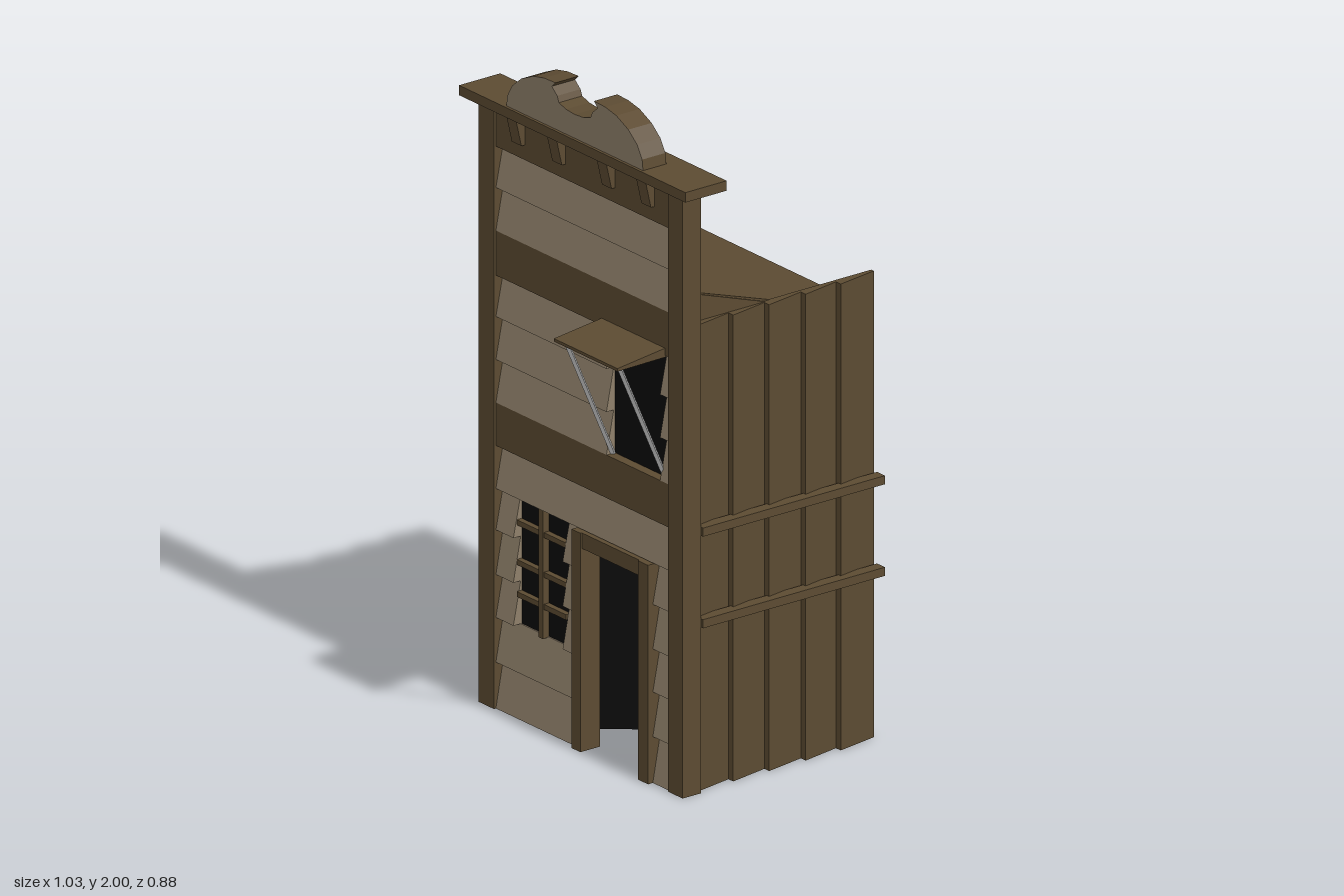
import * as THREE from 'three';

const mat = (color, side = THREE.FrontSide) => new THREE.MeshStandardMaterial({ color, side, flatShading: true });

export function createModel() {
  const root = new THREE.Group();
  const trim = mat(0x5c4b32), plank = mat(0x8f806a), black = mat(0x0a0a0a, THREE.DoubleSide), metal = mat(0xb4b4b4);

  const add = (name, geo, material) => {
    const mesh = new THREE.Mesh(geo, material);
    mesh.name = name;
    root.add(mesh);
    return mesh;
  };
  // box from its limits on each axis
  const box = (name, m, x0, x1, y0, y1, z0, z1) => {
    const mesh = add(name, new THREE.BoxGeometry(x1 - x0, y1 - y0, z1 - z0), m);
    mesh.position.set((x0 + x1) / 2, (y0 + y1) / 2, (z0 + z1) / 2);
    return mesh;
  };
  const toShape = (pts) => new THREE.Shape(pts.map(([a, b]) => new THREE.Vector2(a, b)));
  // prism along x from a [z, y] outline
  const prismX = (name, m, x0, x1, pts) => {
    const geo = new THREE.ExtrudeGeometry(toShape(pts.map(([z, y]) => [-z, y])), { depth: x1 - x0, bevelEnabled: false });
    return add(name, geo.rotateY(Math.PI / 2).translate(x0, 0, 0), m);
  };
  // prism along y from an [x, z] outline
  const prismY = (name, m, y0, y1, pts) => {
    const geo = new THREE.ExtrudeGeometry(toShape(pts.map(([x, z]) => [x, -z])), { depth: y1 - y0, bevelEnabled: false });
    return add(name, geo.rotateX(-Math.PI / 2).translate(0, y0, 0), m);
  };
  // square rod between two points
  const rod = (name, m, a, b, r, sides) => {
    const from = new THREE.Vector3(...a), dir = new THREE.Vector3(...b).sub(from);
    const mesh = add(name, new THREE.CylinderGeometry(r, r, dir.length(), sides), m);
    mesh.position.copy(from).addScaledVector(dir, 0.5);
    mesh.quaternion.setFromUnitVectors(new THREE.Vector3(0, 1, 0), dir.normalize());
    return mesh;
  };

  // Facade frame
  box('cornerPostRight', trim, -0.475, -0.405, 0, 1.83, 0.21, 0.275);
  box('cornerPostLeft', trim, 0.39, 0.457, 0, 1.83, 0.21, 0.275);
  for (const [y0, y1] of [[0.795, 0.925], [1.31, 1.445], [1.7, 1.83]])
    box('facadeBand', trim, -0.405, 0.39, y0, y1, 0.213, 0.268);

  // Clapboards, each tilted outwards at its lower edge
  const clapboard = (x0, x1, y0, y1) =>
    prismX('clapboard', plank, x0, x1, [[0.23, y0], [0.268, y0], [0.242, y1], [0.23, y1]]);
  const L = -0.405, R = 0.39;
  const rows = [
    [0, 0.14, [[L, -0.03], [0.3, R]]],
    [0.14, 0.275, [[L, -0.03], [0.3, R]]],
    [0.275, 0.405, [[L, -0.325], [-0.1, -0.03], [0.3, R]]],
    [0.405, 0.54, [[L, -0.325], [-0.1, -0.03], [0.3, R]]],
    [0.54, 0.665, [[L, -0.325], [-0.1, -0.03], [0.3, R]]],
    [0.665, 0.795, [[L, R]]],
    [0.925, 1.055, [[L, 0.1], [0.345, R]]],
    [1.055, 1.185, [[L, 0.1], [0.345, R]]],
    [1.185, 1.31, [[L, 0.1], [0.345, R]]],
    [1.445, 1.575, [[L, R]]],
    [1.575, 1.7, [[L, R]]],
  ];
  for (const [y0, y1, spans] of rows) for (const [x0, x1] of spans) clapboard(x0, x1, y0, y1);

  // Cornice, brackets and scrolled pediment
  box('cornice', trim, -0.517, 0.517, 1.83, 1.86, 0.165, 0.312);
  for (const x of [-0.295, -0.11, 0.117, 0.297])
    prismX('corniceBracket', trim, x - 0.022, x + 0.022, [[0.26, 1.745], [0.28, 1.745], [0.3, 1.83], [0.26, 1.83]]);
  const half = [[0.312, 1.86], [0.308, 1.892], [0.285, 1.93], [0.245, 1.963], [0.19, 1.988], [0.14, 1.998], [0.088, 2],
    [0.105, 1.984], [0.08, 1.963], [0.072, 1.945], [0.04, 1.935]];
  const outline = [...half, [0, 1.932], ...half.slice().reverse().map(([x, y]) => [-x, y])];
  const pediment = new THREE.ExtrudeGeometry(toShape(outline), { depth: 0.083, bevelEnabled: false }).translate(0, 0, 0.22);
  add('pediment', pediment, [plank, trim]);

  // Ground floor window
  box('lowerWindowPane', black, -0.325, -0.1, 0.272, 0.665, 0.232, 0.238);
  box('windowMullion', trim, -0.221, -0.201, 0.272, 0.665, 0.238, 0.26);
  for (const y of [0.368, 0.465, 0.585]) box('windowBar', trim, -0.325, -0.1, y - 0.008, y + 0.008, 0.238, 0.256);

  // Upper window with propped awning
  box('upperWindowPane', black, 0.1, 0.345, 0.925, 1.31, 0.232, 0.238);
  prismX('awning', trim, 0.078, 0.368, [[0.26, 1.305], [0.438, 1.303], [0.438, 1.312], [0.26, 1.333]]);
  for (const x of [0.105, 0.347])
    rod('awningStrut', metal, [x - 0.004, 0.92, 0.243], [x + 0.006, 1.308, 0.42], 0.008, 4);

  // Door frame, door standing ajar and the dark behind it
  box('doorPostRight', trim, -0.038, 0.003, 0, 0.662, 0.215, 0.285);
  box('doorPostLeft', trim, 0.265, 0.312, 0, 0.662, 0.215, 0.285);
  box('doorLintel', trim, 0.003, 0.265, 0.615, 0.662, 0.22, 0.28);
  prismY('door', plank, 0.02, 0.635, [[0.268, 0.245], [0.254, 0.259], [0.034, 0.034], [0.048, 0.02]]);
  prismY('doorwayDark', black, 0.04, 0.88, [[0.13, 0], [0.134, 0.003], [-0.046, 0.223], [-0.05, 0.22]]);

  // Side walls of overlapping vertical boards, with battens
  const breaks = [-0.435, -0.3, -0.175, -0.045, 0.083, 0.21];
  for (const s of [1, -1]) {
    const pts = [[s * 0.408, 0.21], [s * 0.408, -0.435]];
    for (let i = 0; i < 5; i++) pts.push([s * 0.42, breaks[i]], [s * 0.442, breaks[i + 1]]);
    prismY('sideWall', trim, 0, 1.41, pts);
    for (const y of [0.515, 0.792]) {
      const x = s * 0.449;
      box('sideBatten', trim, x - 0.018, x + 0.018, y - 0.013, y + 0.013, -0.438, 0.21);
    }
    // gable between wall top and roof
    prismX('gable', trim, s * 0.412 - 0.004, s * 0.412 + 0.004, [[0.21, 1.4], [0.21, 1.498], [-0.08, 1.4]]);
  }

  // Sloping roof
  prismX('roof', trim, -0.418, 0.412, [[0.213, 1.49], [0.213, 1.503], [-0.437, 1.29], [-0.437, 1.277]]);

  // Stovepipe with a conical cap
  const px = -0.162;
  rod('pipeLower', metal, [px + 0.008, 1.36, 0.02], [px, 1.43, 0.006], 0.018, 5);
  rod('pipeUpper', metal, [px, 1.425, 0.007], [px, 1.53, -0.016], 0.018, 5);
  const funnel = add('pipeFunnel', new THREE.CylinderGeometry(0.04, 0.018, 0.035, 5), metal);
  funnel.position.set(px, 1.531, -0.004);
  funnel.rotation.x = -0.12;
  const cap = add('pipeCap', new THREE.ConeGeometry(0.051, 0.055, 5), metal);
  cap.position.set(px, 1.574, 0.0);
  cap.rotation.set(-0.12, 0.1, 0);

  return root;
}
